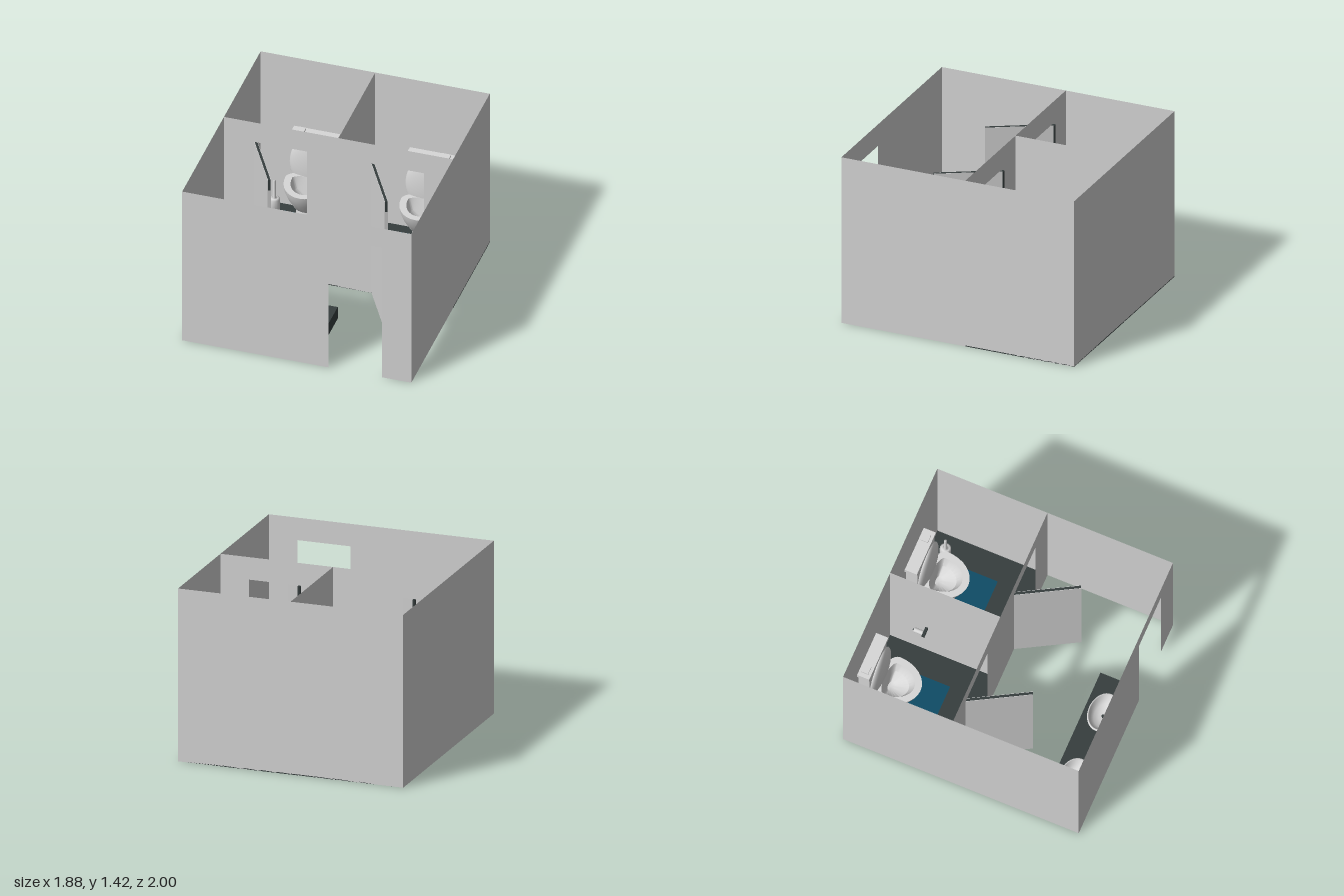
import * as THREE from 'three';
import { toCreasedNormals } from 'three/addons/utils/BufferGeometryUtils.js';

function material(name, color, side = THREE.FrontSide) {
  const m = new THREE.MeshStandardMaterial({ color, side });
  m.name = name;
  return m;
}

export function createModel() {
  const root = new THREE.Group();
  root.name = 'restroom';
  const wallMat = material('wall grey', 0xd2d2d2, THREE.DoubleSide);
  const ceramic = material('ceramic white', 0xd8d8d8, THREE.DoubleSide);
  const dark = material('dark slate', 0x363e3e, THREE.DoubleSide);
  const blue = material('blue mat', 0x0f4c66);

  const W = 0.94, H = 1.42, D = 1, MID = -0.065, DOOR_H = 1.235;

  function add(parent, name, geo, mat, x = 0, y = 0, z = 0) {
    const m = new THREE.Mesh(geo, mat);
    m.name = name;
    m.position.set(x, y, z);
    parent.add(m);
    return m;
  }
  // Box given by its limits on each axis
  function box(parent, name, mat, x0, x1, y0, y1, z0, z1) {
    return add(parent, name, new THREE.BoxGeometry(x1 - x0, y1 - y0, z1 - z0), mat,
      (x0 + x1) / 2, (y0 + y1) / 2, (z0 + z1) / 2);
  }
  function rod(parent, name, mat, from, to, r) {
    const a = new THREE.Vector3(...from), b = new THREE.Vector3(...to);
    const m = add(parent, name, new THREE.CylinderGeometry(r, r, a.distanceTo(b), 10), mat);
    m.position.copy(a).lerp(b, 0.5);
    m.quaternion.setFromUnitVectors(new THREE.Vector3(0, 1, 0), b.sub(a).normalize());
  }
  function rectPoints(x0, x1, y0, y1) {
    return [[x0, y0], [x1, y0], [x1, y1], [x0, y1]].map(p => new THREE.Vector2(...p));
  }

  // Thin walls; doorways run down to the ground
  function wall(name, x0, x1, doors = []) {
    const pts = [[x0, 0]];
    for (const [a, b] of doors) pts.push([a, 0], [a, DOOR_H], [b, DOOR_H], [b, 0]);
    pts.push([x1, 0], [x1, H], [x0, H]);
    const shape = new THREE.Shape(pts.map(p => new THREE.Vector2(...p)));
    return add(root, name, new THREE.ShapeGeometry(shape), wallMat);
  }
  wall('frontWall', -W, W, [[0.26, 0.70]]).position.z = D;
  wall('stallFrontWall', -W, W, [[-0.69, -0.26], [0.27, 0.70]]).position.z = MID;
  wall('backWall', -W, W).position.z = -D;
  for (const s of [-1, 1]) {
    const side = wall('sideWall', -D, D);
    side.rotation.y = Math.PI / 2;
    side.position.x = s * W;
  }
  const divider = wall('stallDivider', -MID, D);
  divider.rotation.y = Math.PI / 2;

  // Lofted toilet body: [half width, front reach, back reach, height]
  function toiletBody() {
    const rings = [
      [0.115, 0.14, 0.16, 0.005], [0.095, 0.12, 0.14, 0.2], [0.125, 0.14, 0.14, 0.21],
      [0.17, 0.2, 0.12, 0.3], [0.19, 0.24, 0.1, 0.37], [0.195, 0.255, 0.1, 0.42],
      [0.14, 0.2, 0.05, 0.42], [0.11, 0.15, 0.03, 0.32], [0.04, 0.04, 0.02, 0.26], [0, 0, 0, 0.255]];
    const n = 32, pos = [], index = [];
    rings.forEach(([w, f, b, y], r) => {
      for (let i = 0; i < n; i++) {
        const a = i / n * Math.PI * 2, s = Math.sin(a);
        pos.push(w * Math.cos(a), y, s * (s > 0 ? f : b));
        if (r === rings.length - 1) continue;
        const p = r * n + i, q = r * n + (i + 1) % n;
        index.push(p, p + n, q, q, p + n, q + n);
      }
    });
    const g = new THREE.BufferGeometry();
    g.setAttribute('position', new THREE.Float32BufferAttribute(pos, 3));
    g.setIndex(index);
    return toCreasedNormals(g, 0.6);
  }
  const bodyGeo = toiletBody();
  const lidGeo = new THREE.SphereGeometry(1, 24, 16, 0, Math.PI, 0, 1.92).scale(0.19, 0.26, 0.055);
  const brushGeo = new THREE.LatheGeometry([[0, 0], [0.045, 0], [0.045, 0.13], [0.03, 0.14],
    [0.012, 0.14], [0.012, 0.3], [0, 0.305]].map(p => new THREE.Vector2(...p)), 20);

  for (const s of [-1, 1]) {
    const stall = new THREE.Group();
    stall.name = s < 0 ? 'rightStall' : 'leftStall';
    root.add(stall);
    const cx = s * 0.475;

    // Floor with a blue inset
    const shape = new THREE.Shape(s < 0 ? rectPoints(-W, -0.003, MID, -D) : rectPoints(0.003, W, MID, -D));
    shape.holes.push(new THREE.Path(rectPoints(cx - 0.26, cx + 0.26, -0.91, -0.4)));
    const floorGeo = new THREE.ExtrudeGeometry(shape, { depth: 0.008, bevelEnabled: false });
    const floor = add(stall, 'floor', floorGeo, dark, 0, 0.008, 0);
    floor.rotation.x = Math.PI / 2;
    box(stall, 'floorInset', blue, cx - 0.26, cx + 0.26, 0, 0.008, -0.91, -0.4);

    // Toilet with raised lid and cistern
    add(stall, 'toiletBowl', bodyGeo, ceramic, cx, 0, -0.795);
    add(stall, 'toiletLid', lidGeo, ceramic, cx, 0.51, -0.888);
    box(stall, 'cistern', ceramic, cx - 0.17, cx + 0.17, 0.4, 0.725, -0.995, -0.9);
    box(stall, 'cisternLid', ceramic, cx - 0.19, cx + 0.19, 0.725, 0.77, -0.998, -0.895);
    const bx = s * 0.595;
    box(stall, 'flushButton', ceramic, bx - 0.035, bx + 0.035, 0.77, 0.785, -0.98, -0.92);

    add(stall, 'toiletBrush', brushGeo, ceramic, s * 0.785, 0.008, -0.865);

    // Paper roll on a bracket fixed to the divider
    rod(stall, 'paperRoll', ceramic, [s * 0.052, 0.5, -0.775], [s * 0.052, 0.5, -0.7], 0.019);
    rod(stall, 'rollPin', dark, [s * 0.052, 0.5, -0.785], [s * 0.052, 0.5, -0.69], 0.006);
    box(stall, 'rollBracket', dark, Math.min(s * 0.002, s * 0.08), Math.max(s * 0.002, s * 0.08),
      0.485, 0.515, -0.70, -0.677);

    // Open door: dark frame ends, light faces
    const door = new THREE.Group();
    door.name = 'stallDoor';
    door.position.set(s < 0 ? -0.685 : 0.275, 0, -0.08);
    door.rotation.y = -1.06;
    stall.add(door);
    box(door, 'doorTop', dark, 0, 0.54, 1.135, DOOR_H, -0.01, 0.01);
    box(door, 'doorCore', wallMat, 0, 0.54, 0.1, 1.135, -0.01, 0.01);
    box(door, 'doorBottom', dark, 0, 0.54, 0.005, 0.1, -0.01, 0.01);
    for (const f of [-1, 1])
      box(door, 'doorFace', wallMat, 0, 0.54, 0.006, DOOR_H - 0.001, f * 0.0115 - 0.0015, f * 0.0115 + 0.0015);
    rod(door, 'hinge', dark, [0, 0.01, 0], [0, DOOR_H, 0], 0.014);
  }

  // Washstand with two oval openings
  const stand = new THREE.Group();
  stand.name = 'washstand';
  root.add(stand);
  const sinks = [-0.645, -0.06], sinkZ = 0.835;
  const top = new THREE.Shape(rectPoints(-0.937, 0.235, 0.685, 0.985));
  for (const x of sinks) top.holes.push(new THREE.Path().absellipse(x, sinkZ, 0.155, 0.112, 0, Math.PI * 2));
  const topGeo = new THREE.ExtrudeGeometry(top, { depth: 0.1, bevelEnabled: false, curveSegments: 24 });
  add(stand, 'counter', topGeo, dark, 0, 0.36, 0).rotation.x = Math.PI / 2;
  box(stand, 'counterBase', dark, -0.937, 0.235, 0.25, 0.26, 0.685, 0.985);

  const basin = new THREE.LatheGeometry([[0, 0.268], [0.3, 0.272], [0.6, 0.29], [0.8, 0.32], [0.9, 0.365],
    [0.95, 0.372], [1, 0.36]].map(p => new THREE.Vector2(...p)), 36).scale(0.165, 1, 0.12);
  sinks.forEach((x, i) => {
    add(stand, 'basin', basin, ceramic, x, 0, sinkZ);
    add(stand, 'drain', new THREE.CylinderGeometry(0.015, 0.015, 0.006, 14), dark, x, 0.272, sinkZ);
    // Corner tap: the two are mirrored
    const s = i ? 1 : -1;
    const foot = x + s * 0.13, tip = x + s * 0.09;
    rod(stand, 'tapPost', dark, [foot, 0.355, 0.963], [foot, 0.43, 0.963], 0.007);
    rod(stand, 'tapSpout', dark, [foot, 0.43, 0.963], [tip, 0.425, 0.91], 0.006);
  });

  return root;
}
